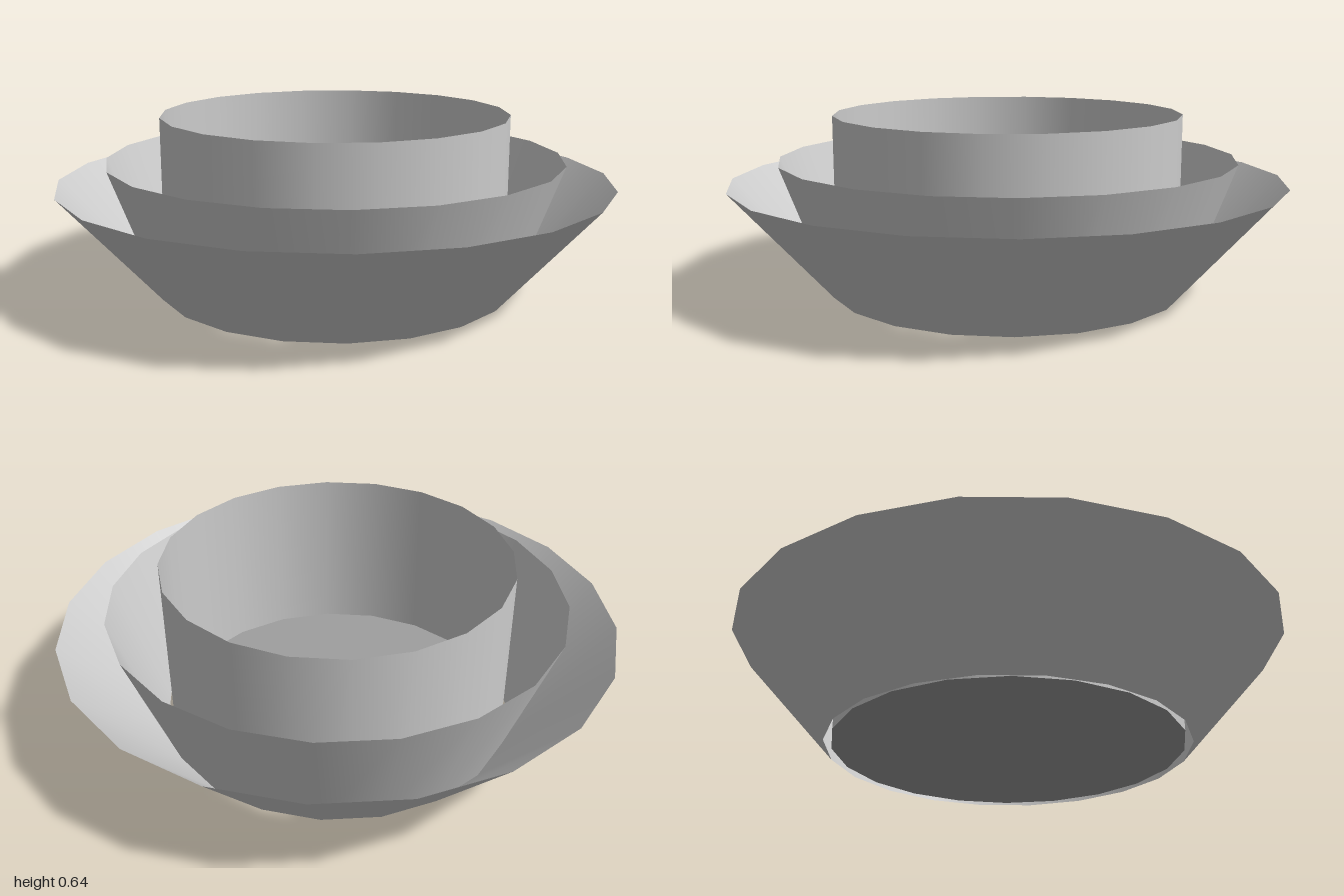
import * as THREE from 'three';

const SIDES = 20;
const HALF_STEP = Math.PI / SIDES;

export function createModel() {
  const model = new THREE.Group();
  const wallGrey = new THREE.MeshStandardMaterial({ color: 0xcccccc, side: THREE.DoubleSide });
  const floorGrey = new THREE.MeshStandardMaterial({ color: 0x9f9f9f, side: THREE.DoubleSide });

  // Thin open wall between two heights
  function addWall(name, topRadius, bottomRadius, bottom, top, turn) {
    const geometry = new THREE.CylinderGeometry(topRadius, bottomRadius, top - bottom, SIDES, 1, true, turn);
    geometry.translate(0, (top + bottom) / 2, 0);
    const mesh = new THREE.Mesh(geometry, wallGrey);
    mesh.name = name;
    model.add(mesh);
  }

  // Two nested flared rings sharing a base, then the upright cup in the middle
  addWall('outerFlare', 1.0125, 0.658, 0, 0.4, HALF_STEP);
  addWall('innerFlare', 0.835, 0.658, 0, 0.48, HALF_STEP);
  addWall('cupWall', 0.635, 0.635, 0.005, 0.64, 0);

  // Flat floor closing the cup
  const floor = new THREE.Mesh(new THREE.CircleGeometry(0.635, SIDES), floorGrey);
  floor.name = 'cupFloor';
  floor.rotation.x = -Math.PI / 2;
  floor.position.y = 0.005;
  model.add(floor);

  return model;
}
